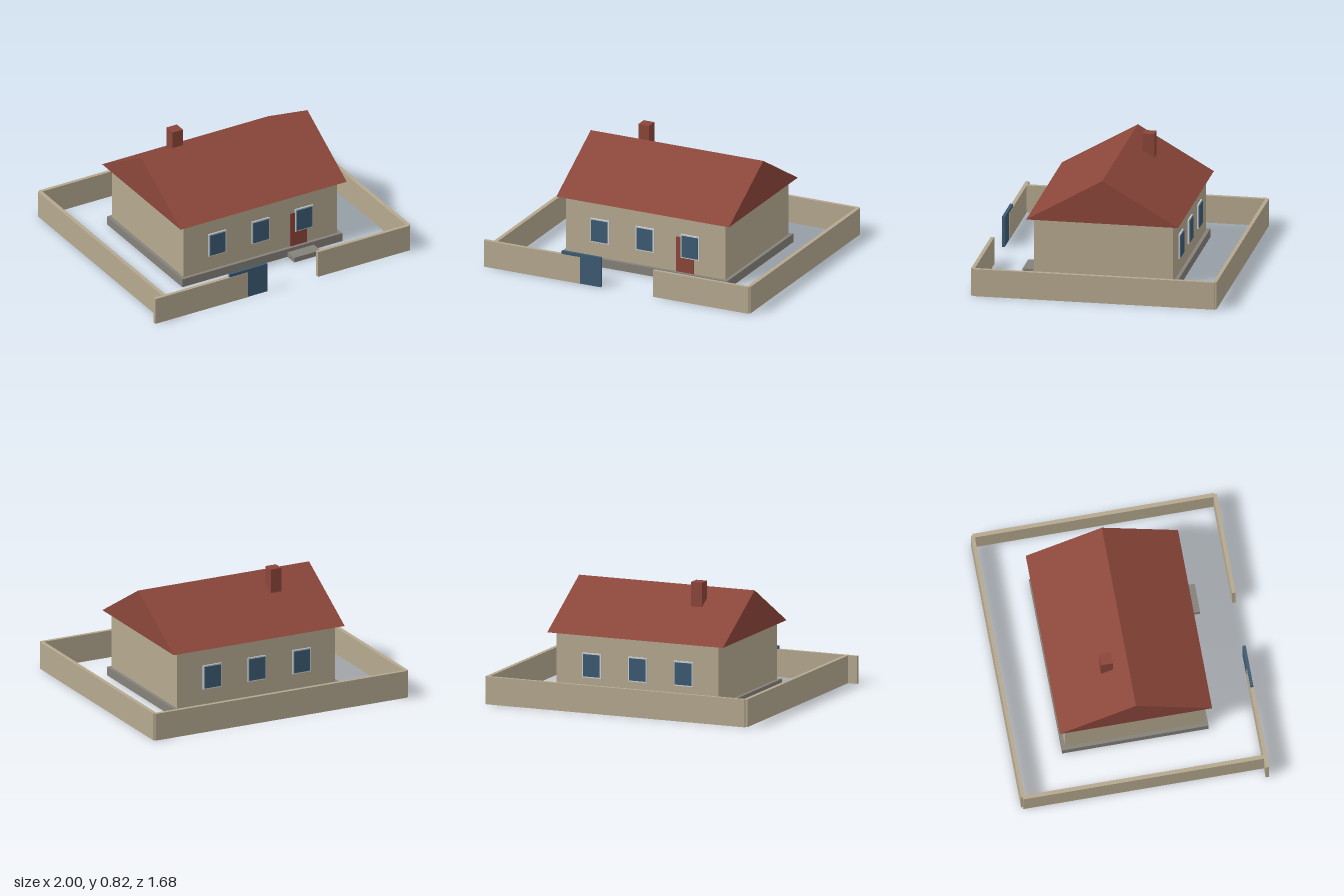
import * as THREE from 'three';

const mat = (name, color) => Object.assign(new THREE.MeshStandardMaterial({ color }), { name });

export function createModel() {
  const wall = mat('sand plaster', 0xb5a88f);
  const red = mat('brick red', 0x8b463a);
  const blue = mat('slate blue', 0x3d5a72);
  const grey = mat('stone grey', 0x85817a);
  const pale = mat('pale frame', 0xcdd2d6);

  const model = new THREE.Group();
  model.name = 'walledHouse';

  // Box given by its extents on each axis
  const box = (name, material, [x0, x1], [y0, y1], [z0, z1], parent = model) => {
    const mesh = new THREE.Mesh(new THREE.BoxGeometry(x1 - x0, y1 - y0, z1 - z0), material);
    mesh.position.set((x0 + x1) / 2, (y0 + y1) / 2, (z0 + z1) / 2);
    mesh.name = name;
    parent.add(mesh);
    return mesh;
  };

  // House body
  box('plinth', grey, [-0.59, 0.657], [0, 0.06], [-0.5, 0.5]);
  box('houseWalls', wall, [-0.565, 0.632], [0.06, 0.46], [-0.476, 0.476]);
  box('doorStep', grey, [0.23, 0.435], [0, 0.035], [0.5, 0.59]);
  box('door', red, [0.265, 0.395], [0.06, 0.31], [0.476, 0.481]);

  // Gabled roof, a triangle extruded along x
  const gable = new THREE.Shape();
  gable.moveTo(-0.52, 0.46);
  gable.lineTo(0.52, 0.46);
  gable.lineTo(0, 0.76);
  gable.closePath();
  const roofGeometry = new THREE.ExtrudeGeometry(gable, { depth: 1.295, bevelEnabled: false });
  roofGeometry.rotateY(Math.PI / 2);
  roofGeometry.translate(-0.615, 0, 0);
  const roof = new THREE.Mesh(roofGeometry, red);
  roof.name = 'roof';
  model.add(roof);
  box('chimney', red, [-0.31, -0.23], [0.6, 0.82], [-0.185, -0.103]);

  // Three windows on the front and three on the back
  for (const side of [1, -1]) {
    for (const x of [-0.307, 0.031, 0.369]) {
      const win = new THREE.Group();
      win.name = side > 0 ? 'frontWindow' : 'backWindow';
      box('windowFrame', pale, [-0.069, 0.069], [0.165, 0.335], [0, 0.009], win);
      box('windowPane', blue, [-0.06, 0.06], [0.174, 0.326], [0.009, 0.016], win);
      win.position.set(x, 0, side * 0.476);
      if (side < 0) win.rotation.y = Math.PI;
      model.add(win);
    }
  }

  // Boundary wall with an opening at the front
  const h = [0, 0.19];
  box('backFence', wall, [-0.92, 0.985], h, [-0.84, -0.815]);
  box('rightFence', wall, [-0.935, -0.907], h, [-0.828, 0.815]);
  box('leftFence', wall, [0.967, 0.995], h, [-0.828, 0.825]);
  box('frontFenceRight', wall, [-1, -0.28], h, [0.815, 0.84]);
  box('frontFenceLeft', wall, [0.268, 0.985], h, [0.815, 0.84]);

  // Sliding gate, partly inside the front wall
  box('gate', blue, [-0.418, -0.123], [0, 0.212], [0.817, 0.837]);

  return model;
}
